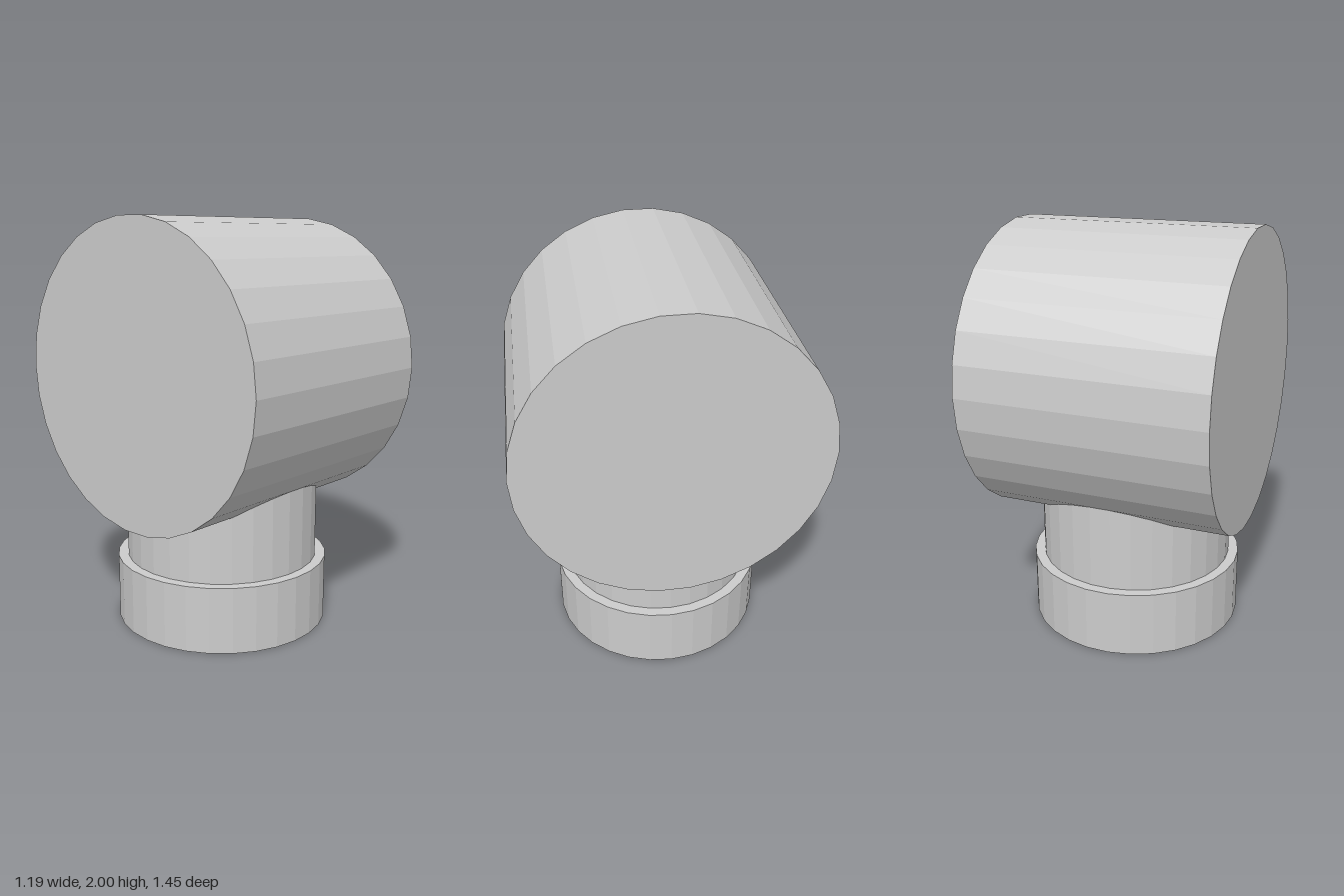
import * as THREE from 'three';

const SIDES = 30;

export function createModel() {
  const group = new THREE.Group();
  const material = new THREE.MeshStandardMaterial({ color: 0xcccccc, flatShading: true });
  const add = (name, geometry, y) => {
    const mesh = new THREE.Mesh(geometry, material);
    mesh.name = name;
    mesh.position.y = y;
    group.add(mesh);
    return mesh;
  };

  // Large drum lying along x
  const drum = add('drum', new THREE.CylinderGeometry(0.725, 0.725, 1.186, SIDES), 1.279);
  drum.rotation.z = Math.PI / 2;

  // Upright neck running up into the drum
  const neckBottom = 0.325, neckTop = 0.8;
  add('neck',
    new THREE.CylinderGeometry(0.483, 0.483, neckTop - neckBottom, SIDES, 1, false, Math.PI / 2),
    (neckBottom + neckTop) / 2);

  // Collar with a shallow round recess in its underside
  const profile = [
    [0, 0.13], [0.38, 0.13], [0.38, 0], [0.533, 0], [0.533, 0.325], [0, 0.325],
  ].map(([r, y]) => new THREE.Vector2(r, y));
  add('collar', new THREE.LatheGeometry(profile, SIDES, Math.PI / 2), 0);

  return group;
}
